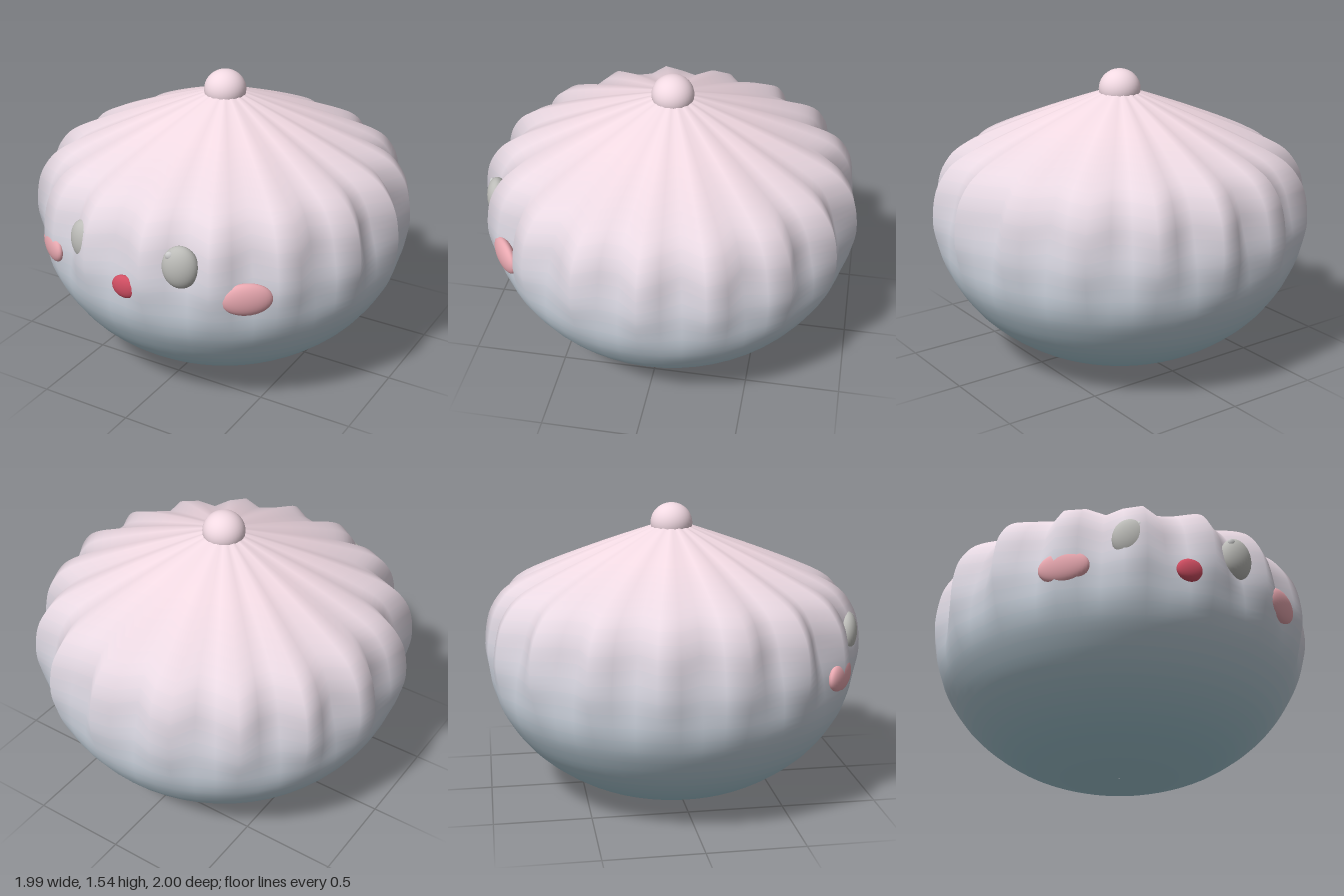
import * as THREE from 'three';

const PLEATS = 17, SEGMENTS = 56, ROWS = 78, BANDS = 39;
const BLUE = new THREE.Color(0xa6ccd8), PINK = new THREE.Color(0xf2dae3);

function mat(color) {
  return new THREE.MeshStandardMaterial({ color });
}

// Flattened ball, turned around the vertical axis to sit on the body
function ball(name, color, pos, radii, turn = 0) {
  const mesh = new THREE.Mesh(new THREE.SphereGeometry(1, 32, 20), mat(color));
  mesh.name = name;
  mesh.position.set(...pos);
  mesh.scale.set(...radii);
  mesh.rotation.y = turn;
  return mesh;
}

// Pleated body: a spun profile whose folds fade out below the middle
function createBody() {
  const profile = new THREE.SplineCurve([
    [0.005, -0.032], [0.15, -0.023], [0.28, 0], [0.43, 0.046], [0.56, 0.105],
    [0.7, 0.2], [0.81, 0.305], [0.9, 0.435], [0.955, 0.55], [0.985, 0.65],
    [1.01, 0.78], [0.995, 0.93], [0.95, 1.03], [0.872, 1.11],
    [0.71, 1.19], [0.41, 1.31], [0.105, 1.42], [0.02, 1.44],
  ].map(([r, y]) => new THREE.Vector2(r, y))).getSpacedPoints(ROWS);

  const positions = [], index = [];
  const phase = THREE.MathUtils.degToRad(1.2);
  profile.forEach(({ x: r, y }) => {
    const depth = 0.06 * THREE.MathUtils.smoothstep(y, 0.45, 0.95);
    for (let i = 0; i < SEGMENTS; i++) {
      const a = (i / SEGMENTS) * Math.PI * 2;
      const fold = r * (1 - depth * (1 - Math.cos(PLEATS * (a + phase))));
      // clipping at the ground makes the flat base
      positions.push(fold * Math.cos(a), Math.max(y, 0), fold * Math.sin(a));
    }
  });
  for (let j = 0; j < ROWS; j++) {
    for (let i = 0; i < SEGMENTS; i++) {
      const k = (i + 1) % SEGMENTS;
      const a = j * SEGMENTS + i, b = j * SEGMENTS + k;
      const c = a + SEGMENTS, d = b + SEGMENTS;
      index.push(a, c, b, b, c, d);
    }
  }
  const whole = new THREE.BufferGeometry();
  whole.setAttribute('position', new THREE.Float32BufferAttribute(positions, 3));
  whole.setIndex(index);
  whole.computeVertexNormals();

  // Horizontal bands share the smooth normals and fade from blue to pink
  const body = new THREE.Group();
  body.name = 'body';
  const rowsPerBand = ROWS / BANDS, step = rowsPerBand * SEGMENTS * 6;
  for (let n = 0; n < BANDS; n++) {
    const band = new THREE.BufferGeometry();
    band.setAttribute('position', whole.getAttribute('position'));
    band.setAttribute('normal', whole.getAttribute('normal'));
    band.setIndex(index.slice(n * step, (n + 1) * step));
    const y = profile[Math.round((n + 0.5) * rowsPerBand)].y;
    const t = THREE.MathUtils.clamp((y - 0.1) / 1.2, 0, 1);
    const mesh = new THREE.Mesh(band, mat(BLUE.clone().lerp(PINK, t)));
    mesh.name = 'bodyBand';
    body.add(mesh);
  }
  return body;
}

export function createModel() {
  const model = new THREE.Group();
  model.name = 'dumpling';
  // the uneven folds put the axis slightly off the middle
  model.position.set(-0.01, 0, -0.01);
  model.add(createBody());
  model.add(ball('topKnob', PINK, [0, 1.435, 0], [0.11, 0.105, 0.11]));

  // Face
  for (const s of [1, -1]) {
    const side = s > 0 ? 'left' : 'right';
    model.add(
      ball(side + 'Eye', 0xbcbcb8, [0.275 * s, 0.877, 0.888], [0.09, 0.11, 0.058], 0.3 * s),
      ball(side + 'EyeHighlight', 0xcccccc, [0.24 * s, 0.945, 0.925], [0.022, 0.022, 0.014], 0.3 * s),
      ball(side + 'Cheek', 0xe8a8b0, [0.568 * s, 0.73, 0.772], [0.128, 0.085, 0.04], 0.64 * s),
    );
  }
  model.add(ball('mouth', 0xd04e62, [0, 0.73, 0.958], [0.07, 0.06, 0.03]));
  return model;
}
